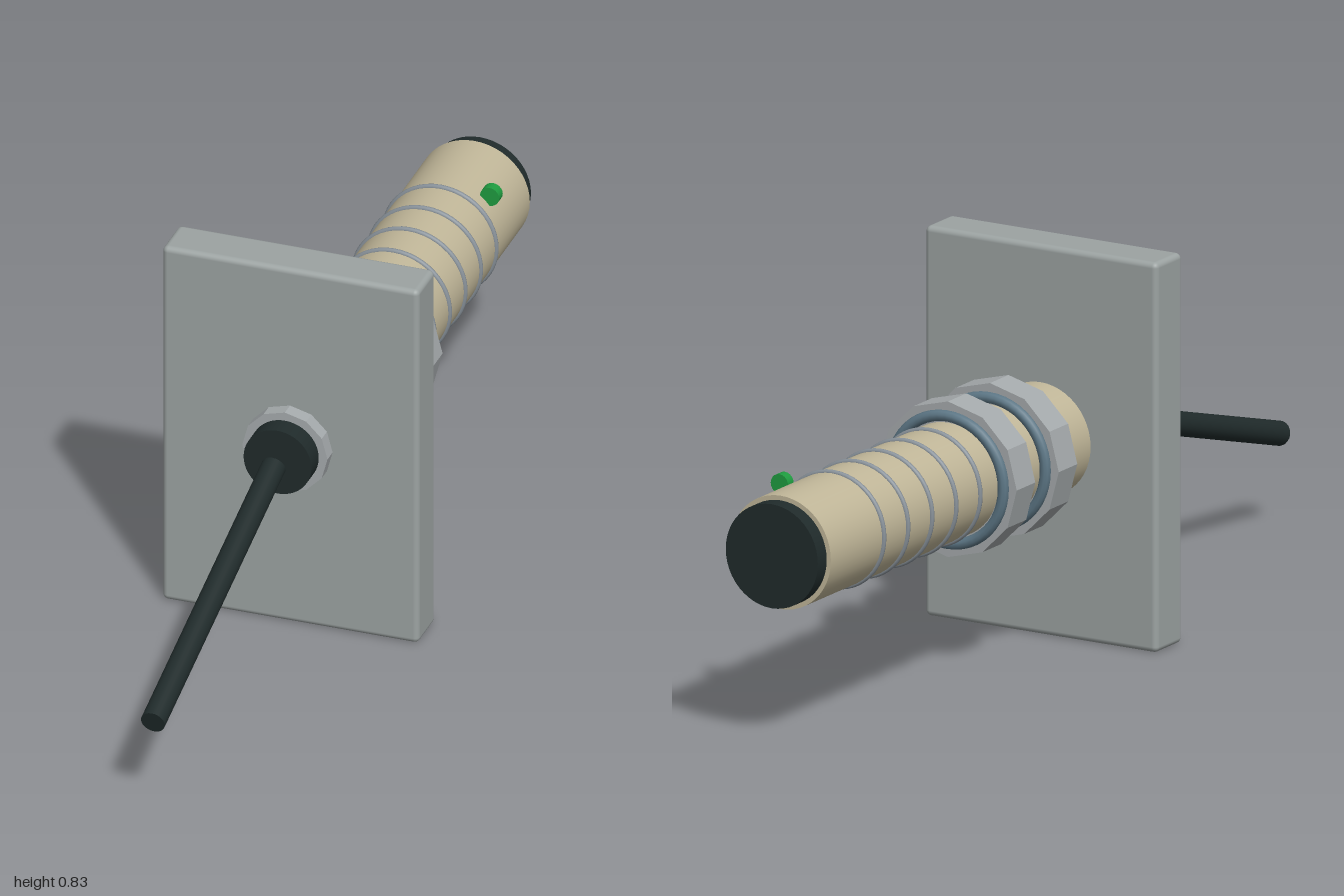
import * as THREE from 'three';
import { RoundedBoxGeometry } from 'three/addons/geometries/RoundedBoxGeometry.js';

const AXIS_Y = 0.418;

const mat = (name, color, flatShading = false) => {
  const m = new THREE.MeshStandardMaterial({ color, flatShading });
  m.name = name;
  return m;
};

export function createModel() {
  const model = new THREE.Group();
  model.name = 'proximitySensor';

  const plateGrey = mat('plateGrey', 0x9ca3a2);
  const nutGrey = mat('nutGrey', 0xa6abad, true);
  const ringSteel = mat('ringSteel', 0x89929a);
  const barrelBeige = mat('barrelBeige', 0xc1b799);
  const washerBlue = mat('washerBlue', 0x5d7786);
  const rubberBlack = mat('rubberBlack', 0x202b2b);
  const lampGreen = mat('lampGreen', 0x1f9c40);

  const add = (name, geometry, material, x = 0, y = 0, z = 0) => {
    const mesh = new THREE.Mesh(geometry, material);
    mesh.name = name;
    mesh.position.set(x, y, z);
    model.add(mesh);
    return mesh;
  };

  // Cylinder lying along z between two depths
  const rod = (name, radius, z0, z1, material, sides = 48, x = 0, y = AXIS_Y) => {
    const g = new THREE.CylinderGeometry(radius, radius, Math.abs(z1 - z0), sides).rotateX(Math.PI / 2);
    return add(name, g, material, x, y, (z0 + z1) / 2);
  };

  // Ring around the sensor axis
  const ring = (name, radius, tube, z, material) =>
    add(name, new THREE.TorusGeometry(radius, tube, 10, 48), material, 0, AXIS_Y, z);

  // Mounting plate
  add('mountingPlate', new RoundedBoxGeometry(0.56, 0.832, 0.103, 3, 0.012), plateGrey, 0, 0.416, 0.107);

  // Sensor barrel and sensing face
  rod('barrel', 0.121, 0.07, -0.965, barrelBeige);
  rod('sensingFace', 0.111, -0.96, -1, rubberBlack);

  // Thread ridges
  for (let i = 0; i < 5; i++) ring('threadRidge', 0.121, 0.006, -0.38 - i * 0.0945, ringSteel);

  // Lock nuts, each with a washer behind it
  for (const z of [-0.07, -0.235]) {
    rod('lockNut', 0.166, z, z - 0.073, nutGrey, 12);
    ring('washer', 0.136, 0.012, z - 0.076, washerBlue);
  }

  // Cable gland in front of the plate
  rod('glandNut', 0.093, 0.15, 0.19, nutGrey, 12);
  rod('glandSeal', 0.074, 0.185, 0.235, rubberBlack);

  // Sloping cable
  const start = new THREE.Vector3(0, 0.42, 0.259);
  const end = new THREE.Vector3(0, 0.207, 0.994);
  const dir = end.clone().sub(start);
  const cable = add('cable', new THREE.CylinderGeometry(0.026, 0.026, dir.length(), 24), rubberBlack);
  cable.position.copy(start).add(end).multiplyScalar(0.5);
  cable.quaternion.setFromUnitVectors(new THREE.Vector3(0, 1, 0), dir.normalize());

  // Status lamp
  rod('statusLamp', 0.021, -0.795, -0.817, lampGreen, 20, 0.094, 0.515);

  return model;
}
